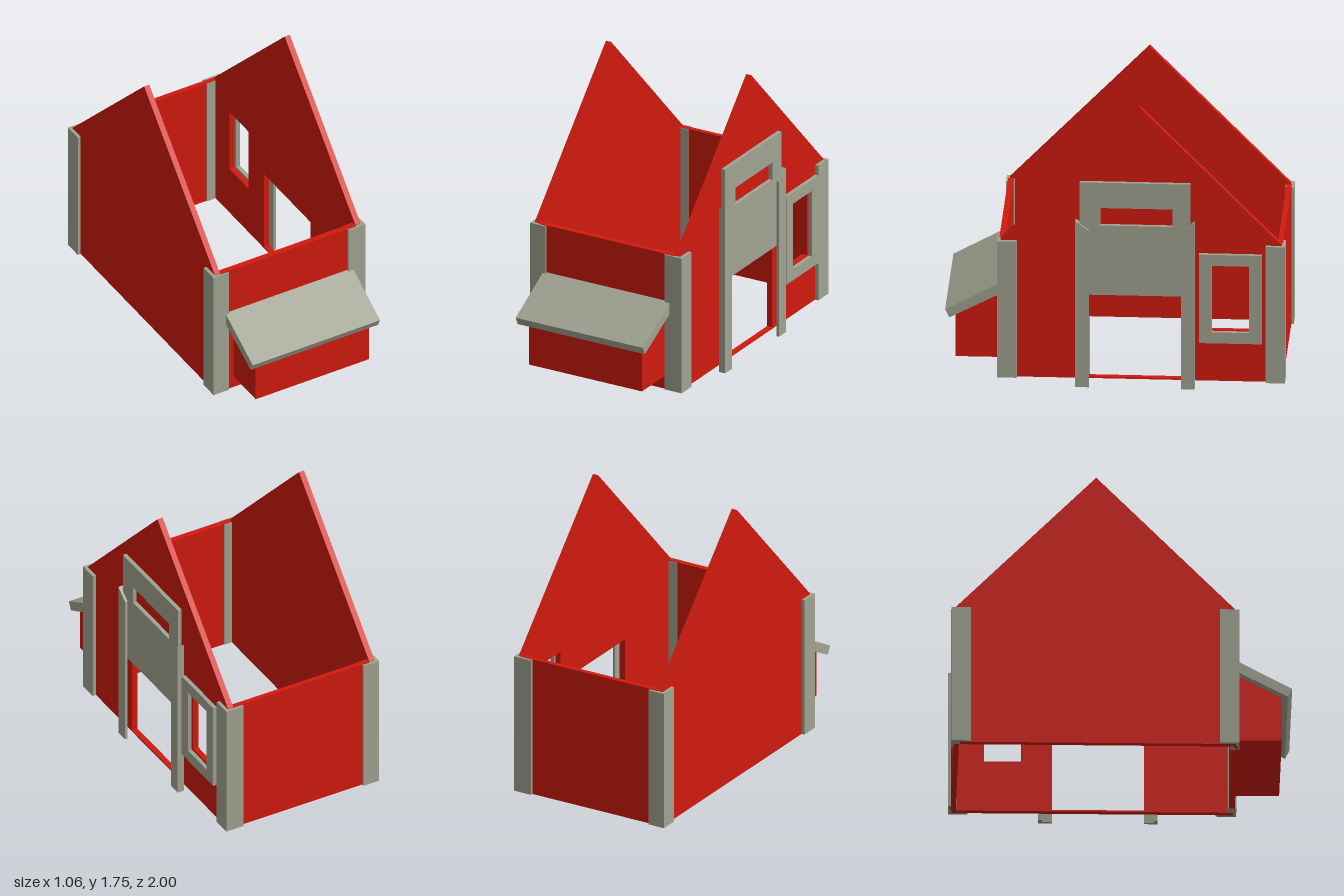
import * as THREE from 'three';

const red = new THREE.MeshStandardMaterial({ color: 0xd01a0e });
const trim = new THREE.MeshStandardMaterial({ color: 0xa0a291 });

const rect = (z0, z1, y0, y1) => [[z0, y0], [z1, y0], [z1, y1], [z0, y1]];

export function createModel() {
  const model = new THREE.Group();

  const add = (name, geometry, material) => {
    const mesh = new THREE.Mesh(geometry, material);
    mesh.name = name;
    model.add(mesh);
  };

  // Box given by its extents
  const box = (name, material, x0, x1, y0, y1, z0, z1) => {
    const g = new THREE.BoxGeometry(x1 - x0, y1 - y0, z1 - z0);
    g.translate((x0 + x1) / 2, (y0 + y1) / 2, (z0 + z1) / 2);
    add(name, g, material);
  };

  // Side profile of [z, y] points, with holes, extruded from x0 to x1
  const panel = (name, material, x0, x1, outline, holes = []) => {
    const toPoints = (list) => list.map(([z, y]) => new THREE.Vector2(-z, y));
    const shape = new THREE.Shape(toPoints(outline));
    for (const hole of holes) shape.holes.push(new THREE.Path(toPoints(hole)));
    const g = new THREE.ExtrudeGeometry(shape, { depth: x1 - x0, bevelEnabled: false });
    g.rotateY(Math.PI / 2);
    g.translate(x0, 0, 0);
    add(name, g, material);
  };

  // Gabled side walls, the left one plain, the right one with door and window
  const gable = [[0.67, 0.04], [-0.98, 0.04], [-0.98, 0.905], [-0.15, 1.755], [0.67, 0.905]];
  const windowHole = rect(-0.57, -0.79, 0.36, 0.78);
  const doorHole = rect(0.15, -0.39, 0.05, 0.585);
  panel('leftWall', red, -0.51, -0.475, gable);
  panel('rightWall', red, 0.445, 0.48, gable, [doorHole, windowHole]);

  // End walls
  box('frontWall', red, -0.475, 0.445, 0.04, 0.905, 0.645, 0.68);
  box('backWall', red, -0.475, 0.445, 0.04, 0.905, -0.985, -0.955);

  // Corner trim: one board across each end wall, one along the side wall
  for (const [name, z0, z1, legZ0, legZ1] of [
    ['front', 0.64, 0.69, 0.575, 0.64],
    ['back', -1, -0.95, -0.95, -0.885],
  ]) {
    box(name + 'LeftCornerBoard', trim, 0.385, 0.502, 0.04, 0.902, z0, z1);
    box(name + 'LeftCornerSide', trim, 0.48, 0.502, 0.04, 0.902, legZ0, legZ1);
    box(name + 'RightCornerBoard', trim, -0.53, -0.425, 0.04, 0.902, z0, z1);
    box(name + 'RightCornerSide', trim, -0.53, -0.51, 0.04, 0.902, legZ0, legZ1);
  }

  // Nest box with its sloping lid
  panel('nestBox', red, -0.39, 0.38, [[0.68, 0.12], [0.94, 0.12], [0.94, 0.405], [0.68, 0.54]]);
  panel('nestBoxLid', trim, -0.445, 0.42, [[0.68, 0.535], [0.975, 0.38], [1, 0.43], [0.68, 0.605]]);

  // Sliding door with a slot, raised above the doorway
  panel('slidingDoor', trim, 0.486, 0.511, rect(0.205, -0.445, 0.58, 1.29),
    [rect(0.085, -0.34, 1.02, 1.13)]);

  // Door rails: L-shaped channels with slanted tops
  for (const [inner, mid, outer] of [[0.15, 0.208, 0.23], [-0.39, -0.448, -0.47]]) {
    panel('doorRailFace', trim, 0.511, 0.527,
      [[inner, 0], [outer, 0], [outer, 1.05], [inner, 0.99]]);
    panel('doorRailEdge', trim, 0.483, 0.511,
      [[mid, 0], [outer, 0], [outer, 1.05], [mid, 1.033]]);
  }

  // Window frame
  panel('windowFrame', trim, 0.49, 0.515, rect(-0.495, -0.865, 0.29, 0.85), [windowHole]);

  return model;
}
